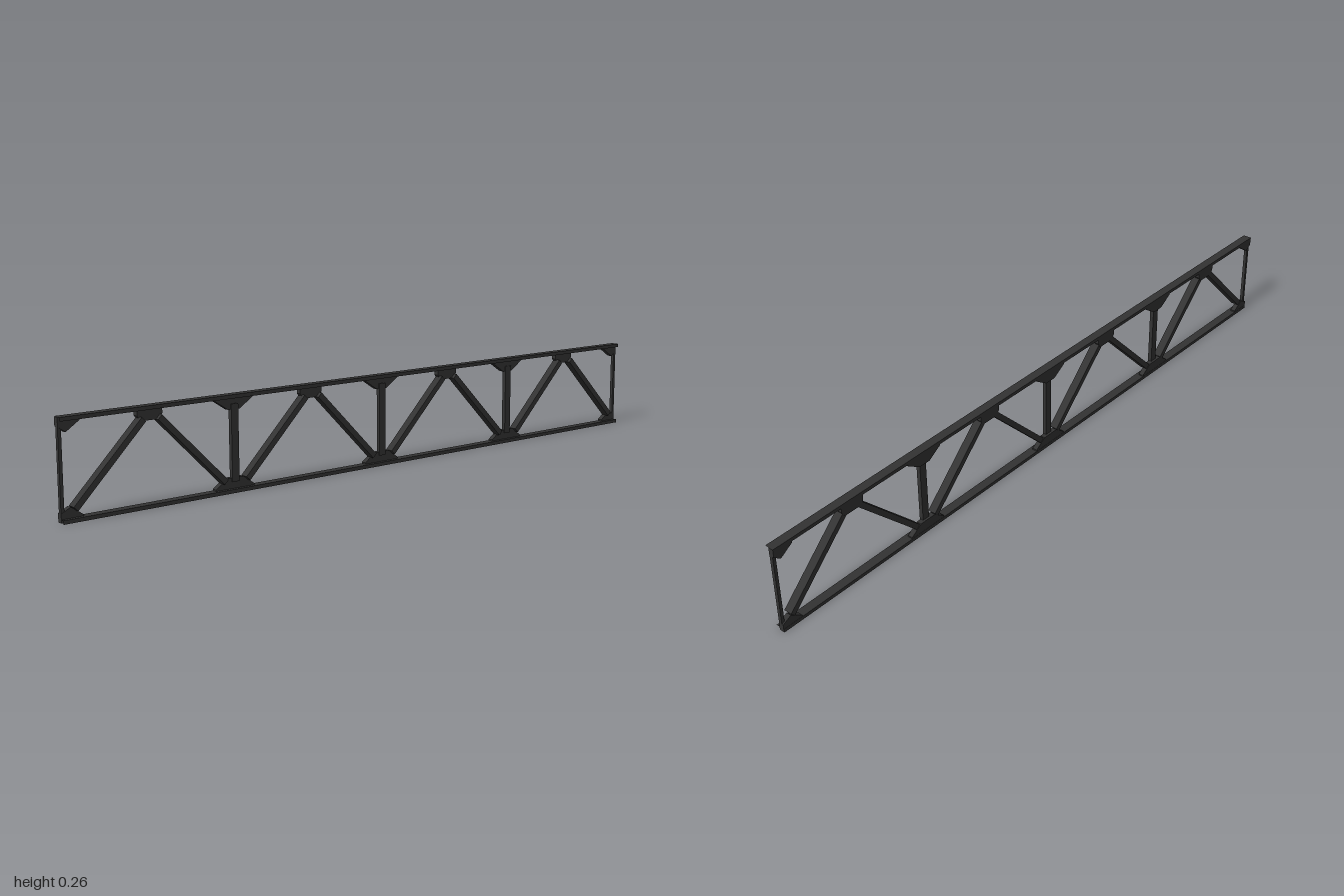
import * as THREE from 'three';

const H = 0.257;     // overall height
const DEPTH = 0.013; // half depth of the truss
const steel = new THREE.MeshStandardMaterial({ color: 0x333333 });

export function createModel() {
  const truss = new THREE.Group();
  truss.name = 'truss';

  function add(name, geometry) {
    const mesh = new THREE.Mesh(geometry, steel);
    mesh.name = name;
    truss.add(mesh);
    return mesh;
  }

  function box(name, w, h, x, y, z0, z1) {
    const mesh = add(name, new THREE.BoxGeometry(w, h, z1 - z0));
    mesh.position.set(x, y, (z0 + z1) / 2);
    return mesh;
  }

  // hollow rail, open at both ends
  function chord(name, y) {
    const geometry = new THREE.BoxGeometry(2, 0.01, DEPTH * 2);
    geometry.setIndex([...geometry.index.array.slice(12)]);
    geometry.clearGroups();
    add(name, geometry).position.y = y;
  }

  // bar between two points of the truss plane
  function bar(name, x0, y0, x1, y1, width, z0, z1) {
    const mesh = box(name, Math.hypot(x1 - x0, y1 - y0), width, (x0 + x1) / 2, (y0 + y1) / 2, z0, z1);
    mesh.rotation.z = Math.atan2(y1 - y0, x1 - x0);
  }

  // plate from an outline given as [x, distance from chord edge]
  function gusset(name, x, points, top) {
    const outline = points.map(([px, py]) => new THREE.Vector2(x + px, top ? H - py : py));
    const geometry = new THREE.ExtrudeGeometry(new THREE.Shape(outline), { depth: 0.015, bevelEnabled: false });
    geometry.translate(0, 0, -0.0125);
    add(name, geometry);
  }

  const mirrored = (half) => [...half, ...half.map(([x, y]) => [-x, y]).reverse()];

  // chords
  chord('bottomChord', 0.005);
  chord('topChord', H - 0.005);

  // end posts with corner gussets
  for (const s of [-1, 1]) {
    box('endPost', 0.009, H - 0.03, s * 0.9955, H / 2, -0.008, 0.002);
    gusset('topCornerGusset', s, [[0, 0.001], [-s * 0.058, 0.001], [-s * 0.058, 0.014], [-s * 0.02, 0.039], [0, 0.024]], true);
    gusset('bottomCornerGusset', s, [[0, 0.001], [-s * 0.06, 0.001], [-s * 0.06, 0.014], [-s * 0.026, 0.037], [0, 0.024]], false);
  }

  // inner posts with gussets at both ends
  for (const x of [-0.5, 0, 0.5]) {
    box('post', 0.022, 0.204, x, 0.13, -0.006, 0.006);
    gusset('postTopGusset', x, mirrored([[0.058, 0.001], [0.058, 0.014], [0.018, 0.04]]), true);
    gusset('postBottomGusset', x, mirrored([[0.06, 0.001], [0.06, 0.014], [0.026, 0.038]]), false);
  }

  // pairs of diagonals meeting under the top chord
  for (const x of [-0.75, -0.25, 0.25, 0.75]) {
    gusset('diagonalGusset', x, mirrored([[0.036, 0.001], [0.036, 0.024], [0.026, 0.038]]), true);
    for (const s of [-1, 1]) {
      bar('diagonal', x + s * 0.216, 0.032, x + s * 0.023, 0.225, 0.016, -0.011, DEPTH);
    }
  }

  return truss;
}
